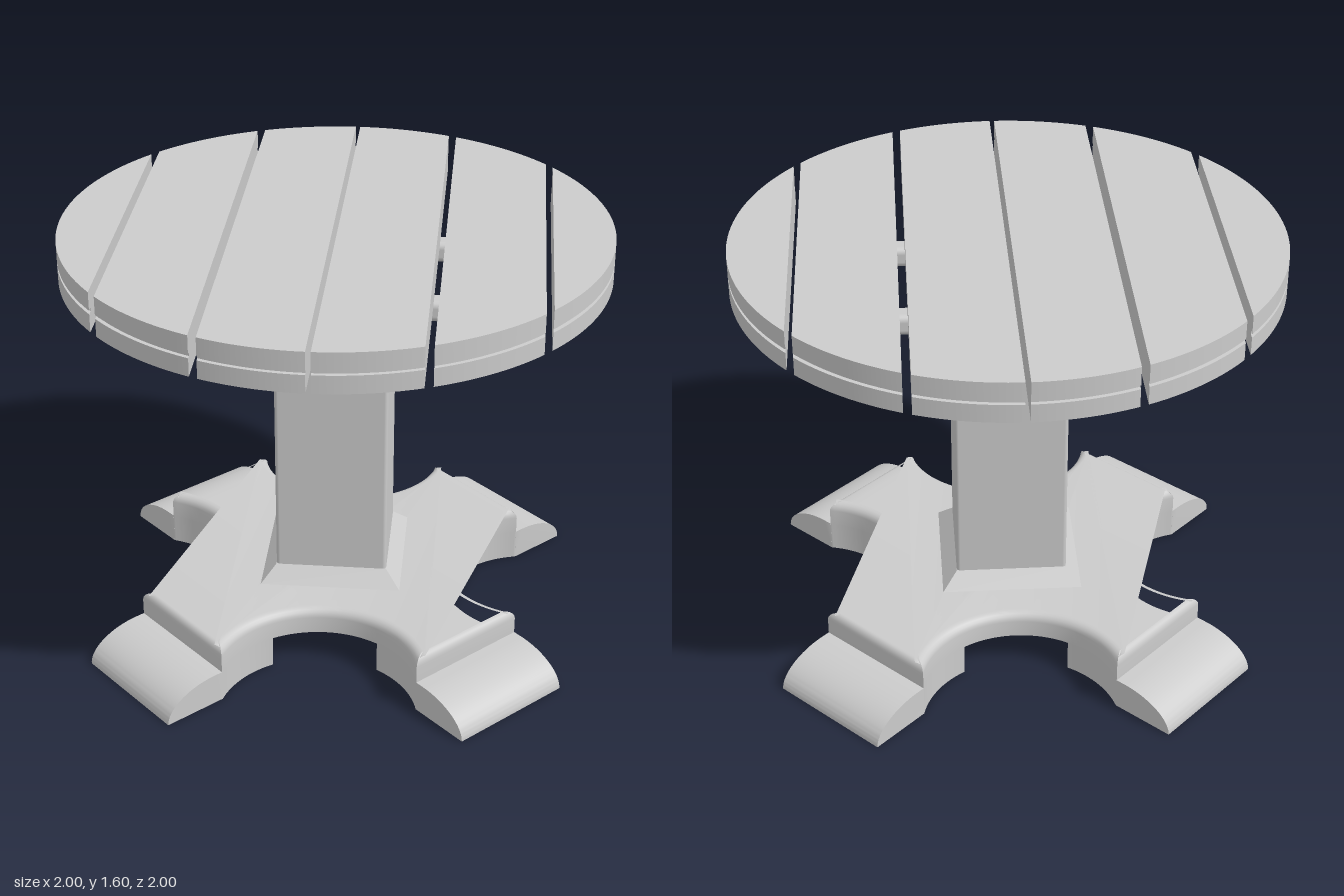
import * as THREE from 'three';
import { mergeGeometries, toCreasedNormals } from 'three/addons/utils/BufferGeometryUtils.js';
import { RoundedBoxGeometry } from 'three/addons/geometries/RoundedBoxGeometry.js';

const material = new THREE.MeshStandardMaterial({ color: 0xcccccc });

function add(parent, name, geometry, x = 0, y = 0, z = 0) {
  const mesh = new THREE.Mesh(geometry, material);
  mesh.name = name;
  mesh.position.set(x, y, z);
  parent.add(mesh);
  return mesh;
}

// Extrudes a plan outline upwards from y0 to y1.
function slab(shape, y0, y1, curveSegments = 20) {
  const g = new THREE.ExtrudeGeometry(shape, { depth: y1 - y0, bevelEnabled: false, curveSegments });
  return g.rotateX(-Math.PI / 2).translate(0, y0, 0);
}

// Slice of a disc of radius r between x0 and x1.
function discSlice(r, x0, x1) {
  const a0 = Math.acos(Math.max(x0 / r, -1));
  const a1 = Math.acos(Math.min(x1 / r, 1));
  const s = new THREE.Shape();
  s.absarc(0, 0, r, a1, a0, false);
  s.absarc(0, 0, r, -a0, -a1, false);
  return s;
}

// Round table top: planks with a groove running round the rim
function tableTop() {
  const top = new THREE.Group();
  top.name = 'tableTop';
  const half = [[0.009, 0.368], [0.397, 0.752], [0.778, 1]];
  const planks = [...half, ...half.map(([a, b]) => [-b, -a])];
  for (const [x0, x1] of planks) {
    const layers = [[1, 1.45, 1.517], [0.985, 1.517, 1.531], [1, 1.531, 1.6]];
    const parts = layers.map(([r, y0, y1]) => slab(discSlice(r, x0, x1), y0, y1));
    add(top, 'plank', toCreasedNormals(mergeGeometries(parts), 0.5));
  }
  return top;
}

// Cross-shaped base, built with its arms along x and z, then turned 45 degrees
function base() {
  const group = new THREE.Group();
  group.name = 'base';
  const C = 0.554, R = 0.364, END = -1.0017, NECK = -1.789;
  const armWidth = 0.495, footHeight = 0.12, bevel = 0.035;

  // Plate: four arms joined by concave arcs, rounded along the upper edge
  const cross = new THREE.Shape();
  for (let k = 0; k < 4; k++) {
    const t = k * Math.PI / 2;
    const q = t + Math.PI / 4, d = C * Math.SQRT2;
    cross.absarc(d * Math.cos(q), d * Math.sin(q), R, t + END, t - 1.5 * Math.PI + Math.PI - Math.PI + -END, true);
  }
  const plate = new THREE.ExtrudeGeometry(cross, {
    depth: 0.1 - bevel, bevelThickness: bevel, bevelSize: bevel, bevelOffset: -bevel,
    bevelSegments: 5, curveSegments: 24,
  });
  // Flatten the lower bevel so the underside meets the sides sharply
  const p = plate.attributes.position;
  for (let i = 0; i < p.count; i++) p.setZ(i, Math.max(0, p.getZ(i)));
  plate.rotateX(-Math.PI / 2);
  add(group, 'basePlate', toCreasedNormals(plate, 0.6), 0, footHeight, 0);

  // Foot: waisted inner block plus a toe with a rounded top
  const waist = new THREE.Shape();
  waist.absarc(C, C, R, END, NECK, true);
  waist.absarc(C, -C, R, -NECK, -END, true);
  const toe = new THREE.Shape();
  toe.moveTo(0.75, 0);
  toe.lineTo(0.997, 0);
  toe.absellipse(0.785, 0, 0.212, footHeight, 0, Math.PI / 2, false, 0);
  toe.lineTo(0.75, footHeight);
  const toeGeometry = new THREE.ExtrudeGeometry(toe, { depth: armWidth, bevelEnabled: false, curveSegments: 14 });
  toeGeometry.translate(0, 0, -armWidth / 2);
  const foot = toCreasedNormals(mergeGeometries([slab(waist, 0, footHeight), toeGeometry]), 0.6);
  for (let k = 0; k < 4; k++) add(group, 'foot', foot).rotation.y = k * Math.PI / 2;

  group.rotation.y = Math.PI / 4;
  return group;
}

export function createModel() {
  const model = new THREE.Group();
  model.name = 'roundTable';
  model.add(tableTop(), base());

  // Square pillar with softened corners and a sloped collar at its foot
  add(model, 'pillar', new RoundedBoxGeometry(0.42, 1.25, 0.42, 3, 0.014), 0, 0.825, 0);
  const collar = new THREE.CylinderGeometry(0.21 * Math.SQRT2, 0.265 * Math.SQRT2, 0.06, 4).toNonIndexed();
  collar.rotateY(Math.PI / 4);
  collar.computeVertexNormals();
  add(model, 'collar', collar, 0, 0.25, 0);

  // Battens under the planks, on either side of the pillar
  for (const s of [1, -1]) {
    add(model, 'batten', new RoundedBoxGeometry(1.45, 0.08, 0.085, 4, 0.025), 0, 1.41, s * 0.253);
  }
  return model;
}
